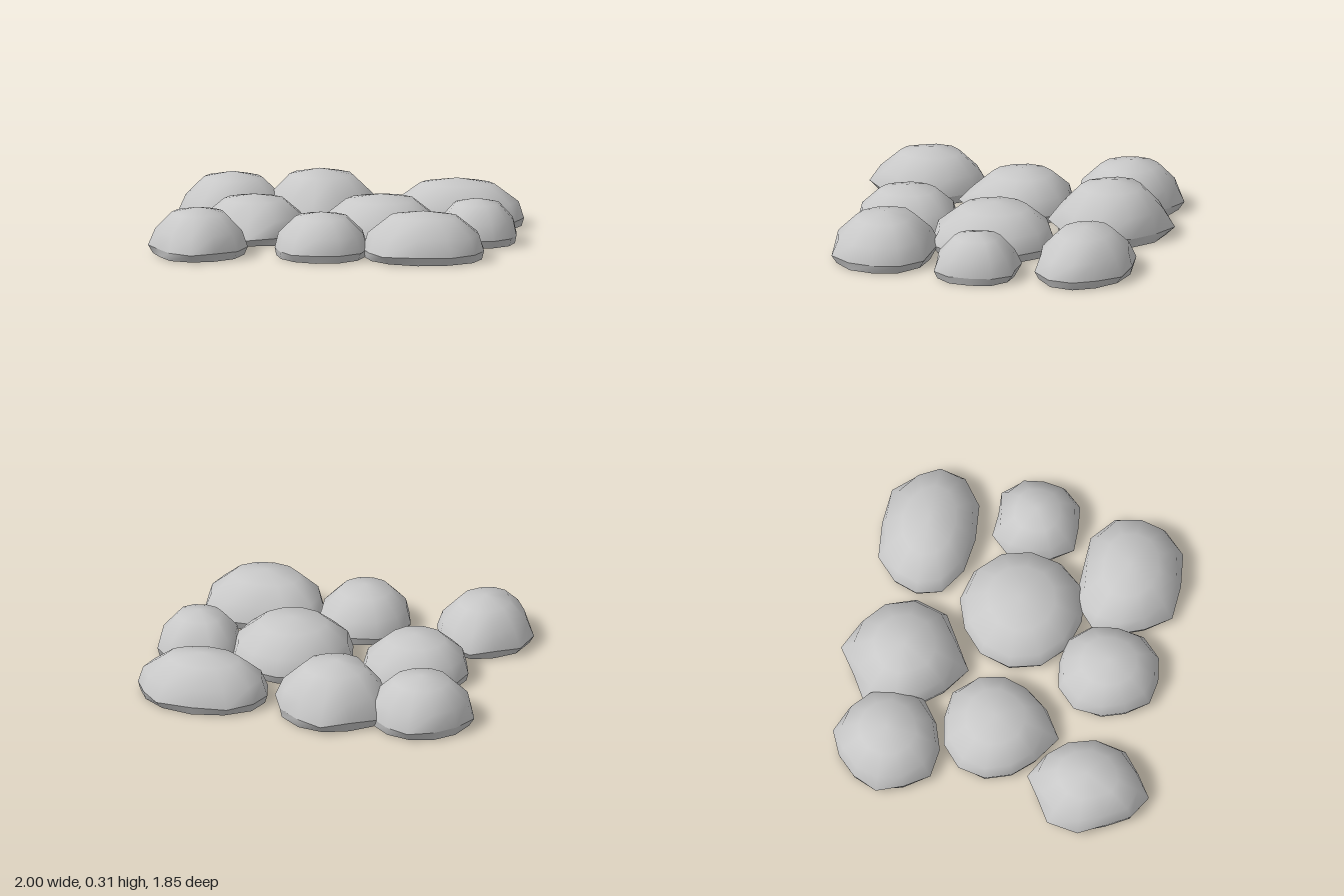
import * as THREE from 'three';
import { mergeGeometries } from 'three/addons/utils/BufferGeometryUtils.js';

const SIDES = 12;
// Cross-section of a stone: [share of outline radius, share of height, is the rim]
const SKIRT = [[0.965, 0, false], [1, 0.17, true]];
const DOME = [[1, 0.17, true], [0.92, 0.52, false], [0.56, 0.885, false], [0, 1, false]];

// Skin rings scaled by a profile; only the rim keeps the outline's spikes
function skin(profile, rx, rz, h, outline) {
  const body = outline.map((f, i) =>
    Math.min(f, (outline[(i + 1) % SIDES] + outline[(i + SIDES - 1) % SIDES]) / 2));
  const pos = [], index = [];
  profile.forEach(([r, y, isRim]) => {
    if (r === 0) { pos.push(0, y * h, 0); return; }
    (isRim ? outline : body).forEach((f, i) => {
      const t = (i / SIDES) * Math.PI * 2;
      pos.push(rx * f * r * Math.cos(t), y * h, rz * f * r * Math.sin(t));
    });
  });
  for (let j = 0; j < profile.length - 1; j++) {
    for (let i = 0; i < SIDES; i++) {
      const a = j * SIDES + i, b = j * SIDES + (i + 1) % SIDES;
      if (profile[j + 1][0] === 0) {
        index.push(a, (j + 1) * SIDES, b);
      } else {
        index.push(a, a + SIDES, b, b, a + SIDES, b + SIDES);
      }
    }
  }
  const g = new THREE.BufferGeometry();
  g.setAttribute('position', new THREE.Float32BufferAttribute(pos, 3));
  g.setIndex(index);
  g.computeVertexNormals();
  return g;
}

export function createModel() {
  const group = new THREE.Group();
  group.name = 'steppingStones';
  const stoneGrey = new THREE.MeshStandardMaterial({ color: 0xc8c8c8, side: THREE.DoubleSide });
  stoneGrey.name = 'stoneGrey';

  // Hollow stone: smooth dome, sharp rim, undercut skirt, open bottom.
  // The outline lists radius factors from +x round through +z.
  function stone(name, x, z, rx, rz, h, outline) {
    const geometry = mergeGeometries([
      skin(SKIRT, rx, rz, h, outline),
      skin(DOME, rx, rz, h, outline),
    ]);
    const mesh = new THREE.Mesh(geometry, stoneGrey);
    mesh.name = name;
    mesh.position.set(x, 0, z);
    group.add(mesh);
  }

  // Back row
  stone('backRightStone', -0.66, -0.58, 0.305, 0.305, 0.278,
    [1.01, 1.06, 0.97, 1, 1.07, 0.95, 1, 0.91, 0.91, 0.99, 0.91, 0.93]);
  stone('backCentreStone', -0.17, -0.57, 0.34, 0.36, 0.307,
    [1.05, 1.02, 0.88, 1.01, 0.83, 0.79, 0.94, 0.98, 0.84, 1, 0.91, 0.96]);
  stone('backLeftStone', 0.6, -0.58, 0.375, 0.265, 0.265,
    [1, 1.06, 1.08, 1, 1.03, 1.04, 0.99, 1, 1.08, 1, 1.08, 0.95]);

  // Middle row
  stone('middleRightStone', -0.47, 0, 0.305, 0.3, 0.25,
    [0.98, 0.95, 1.02, 1.21, 1, 0.97, 1, 1.03, 1, 0.96, 1.04, 1]);
  stone('middleCentreStone', 0.24, 0.01, 0.345, 0.345, 0.265,
    [0.99, 1.02, 1.07, 1.01, 1, 1.01, 1, 0.99, 0.96, 1, 1, 1]);
  stone('middleLeftStone', 0.775, 0, 0.225, 0.23, 0.25,
    [1, 1.08, 1.11, 1.02, 1.18, 1.04, 1, 1.13, 1.15, 0.95, 1.13, 1.08]);

  // Front row
  stone('frontRightStone', -0.72, 0.57, 0.28, 0.345, 0.265,
    [1, 1, 0.9, 1.02, 0.92, 0.84, 1, 1.03, 0.86, 0.98, 0.9, 0.92]);
  stone('frontCentreStone', -0.03, 0.565, 0.26, 0.28, 0.25,
    [0.99, 1.07, 1.05, 0.99, 1.05, 0.96, 1, 1.1, 1.08, 1.02, 1.1, 1.08]);
  stone('frontLeftStone', 0.545, 0.575, 0.34, 0.275, 0.268,
    [1, 1.03, 1.1, 1.04, 1.15, 0.98, 1, 1.13, 1.16, 0.98, 1.1, 1.08]);

  return group;
}
